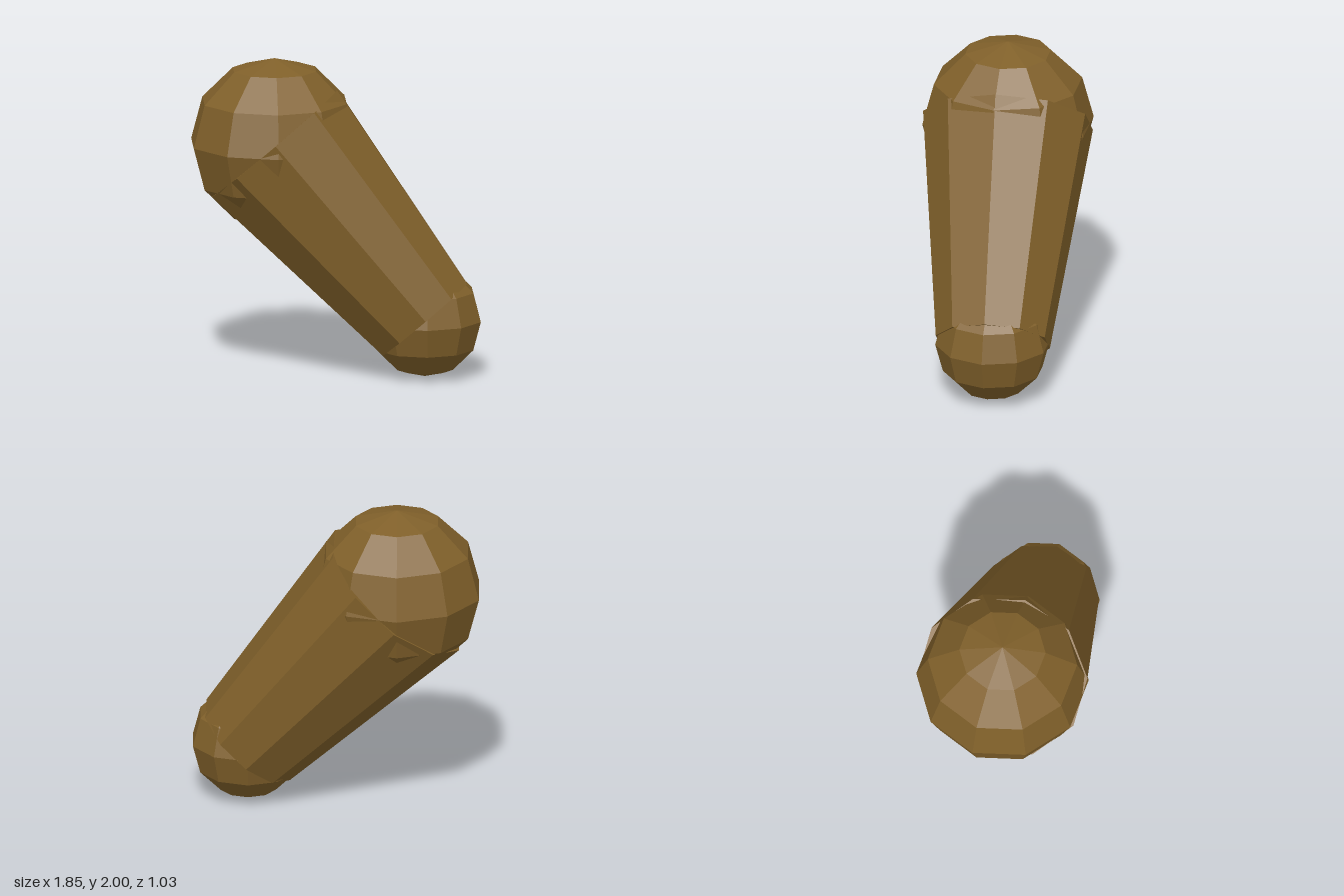
import * as THREE from 'three';

export function createModel() {
  const group = new THREE.Group();
  group.name = 'taperedCapsule';
  const material = new THREE.MeshStandardMaterial({ color: 0x80602a, flatShading: true });

  const big = { center: new THREE.Vector3(-0.39, 1.46, 0), radius: 0.54 };
  const small = { center: new THREE.Vector3(0.56, 0.365, -0.09), radius: 0.363 };

  function add(name, geometry) {
    const mesh = new THREE.Mesh(geometry, material);
    mesh.name = name;
    group.add(mesh);
    return mesh;
  }

  // Rounded ends: low-poly balls
  for (const [name, end] of [['largeEnd', big], ['smallEnd', small]]) {
    add(name, new THREE.SphereGeometry(end.radius, 10, 6)).position.copy(end.center);
  }

  // Ten-sided tapered shaft joining the ball centres, one corner kept in the upright plane
  const axis = big.center.clone().sub(small.center);
  const length = axis.length();
  axis.normalize();
  const side = new THREE.Vector3().crossVectors(axis, new THREE.Vector3(0, 0, 1)).normalize();
  const depth = new THREE.Vector3().crossVectors(side, axis);
  const shaft = add('shaft', new THREE.CylinderGeometry(
    big.radius, small.radius, length, 10, 1, false, Math.PI / 2));
  shaft.quaternion.setFromRotationMatrix(new THREE.Matrix4().makeBasis(side, axis, depth));
  shaft.position.copy(big.center).add(small.center).multiplyScalar(0.5);

  return group;
}
